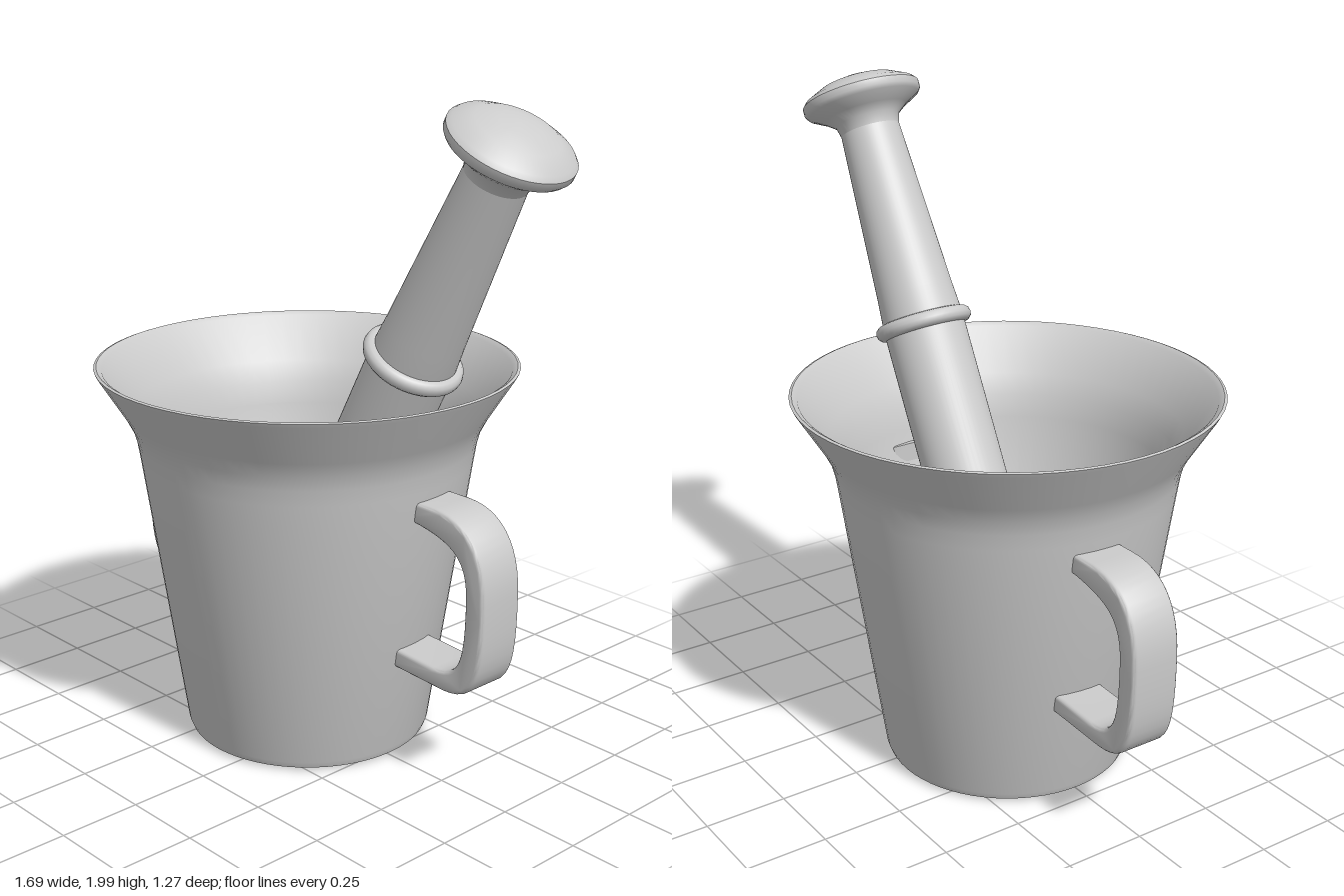
import * as THREE from 'three';
import { toCreasedNormals } from 'three/addons/utils/BufferGeometryUtils.js';

const material = new THREE.MeshStandardMaterial({ color: 0xcccccc });
const CUP_X = -0.085;

function part(name, geometry, crease = 0.7) {
  const mesh = new THREE.Mesh(toCreasedNormals(geometry, crease), material);
  mesh.name = name;
  return mesh;
}

function lathe(name, profile, segments = 48) {
  const points = profile.map(([r, y]) => new THREE.Vector2(r, y));
  return part(name, new THREE.LatheGeometry(points, segments));
}

// Flat D-shaped strap with softened edges, opening towards the cup
function handleGeometry() {
  const bevel = 0.012, width = 0.155;
  const s = new THREE.Shape();
  s.moveTo(0.47, 0.848);
  s.lineTo(0.56, 0.848);
  s.bezierCurveTo(0.68, 0.848, 0.748, 0.77, 0.748, 0.62);
  s.bezierCurveTo(0.748, 0.4, 0.73, 0.327, 0.61, 0.327);
  s.lineTo(0.40, 0.338);
  s.lineTo(0.40, 0.373);
  s.lineTo(0.57, 0.363);
  s.bezierCurveTo(0.68, 0.363, 0.702, 0.42, 0.702, 0.62);
  s.bezierCurveTo(0.702, 0.76, 0.63, 0.79, 0.47, 0.812);
  const g = new THREE.ExtrudeGeometry(s, {
    depth: width - 2 * bevel, bevelThickness: bevel, bevelSize: bevel,
    bevelSegments: 3, curveSegments: 12,
  });
  g.translate(0, 0, -width / 2 + bevel);
  return g;
}

export function createModel() {
  const model = new THREE.Group();
  model.name = 'mortarAndPestle';

  // Cup: tapered wall, flared lip, hollow inside
  const mortar = new THREE.Group();
  mortar.name = 'mortar';
  mortar.position.x = CUP_X;
  mortar.add(lathe('cup', [
    [0, 0.005], [0.355, 0.008], [0.37, 0.015], [0.378, 0.035],
    [0.505, 0.89], [0.513, 0.94], [0.525, 0.985], [0.548, 1.03],
    [0.63, 1.16], [0.636, 1.172], [0.628, 1.175], [0.612, 1.165],
    [0.53, 1.03], [0.5, 0.97], [0.485, 0.9],
    [0.31, 0.1], [0.295, 0.085], [0, 0.085],
  ], 64));

  // Two mirrored handles
  const leftHandle = part('leftHandle', handleGeometry());
  leftHandle.position.z = -0.042;
  const rightHandle = part('rightHandle', handleGeometry());
  rightHandle.rotation.y = Math.PI;
  rightHandle.position.z = -0.042;
  mortar.add(leftHandle, rightHandle);

  // Pestle: local origin at the collar, leaning to the left
  const pestle = new THREE.Group();
  pestle.name = 'pestle';
  pestle.position.set(0.34, 1.26, -0.018);
  pestle.rotation.z = -THREE.MathUtils.degToRad(28);
  pestle.add(
    lathe('grindingHead', [
      [0, -1.225], [0.07, -1.218], [0.14, -1.195], [0.19, -1.165],
      [0.215, -1.13], [0.215, -1.105], [0.195, -1.08], [0.155, -1.045], [0.125, -0.99],
    ]),
    lathe('shaft', [[0.125, -0.99], [0.125, 0], [0.118, 0.1], [0.092, 0.62]]),
    lathe('knob', [
      [0.092, 0.62], [0.1, 0.652], [0.13, 0.675], [0.175, 0.7], [0.184, 0.712],
      [0.184, 0.732], [0.172, 0.745], [0.12, 0.772], [0.06, 0.788], [0, 0.793],
    ]),
  );
  const collar = part('collar', new THREE.TorusGeometry(0.126, 0.024, 12, 48));
  collar.rotation.x = Math.PI / 2;
  pestle.add(collar);

  model.add(mortar, pestle);
  return model;
}
